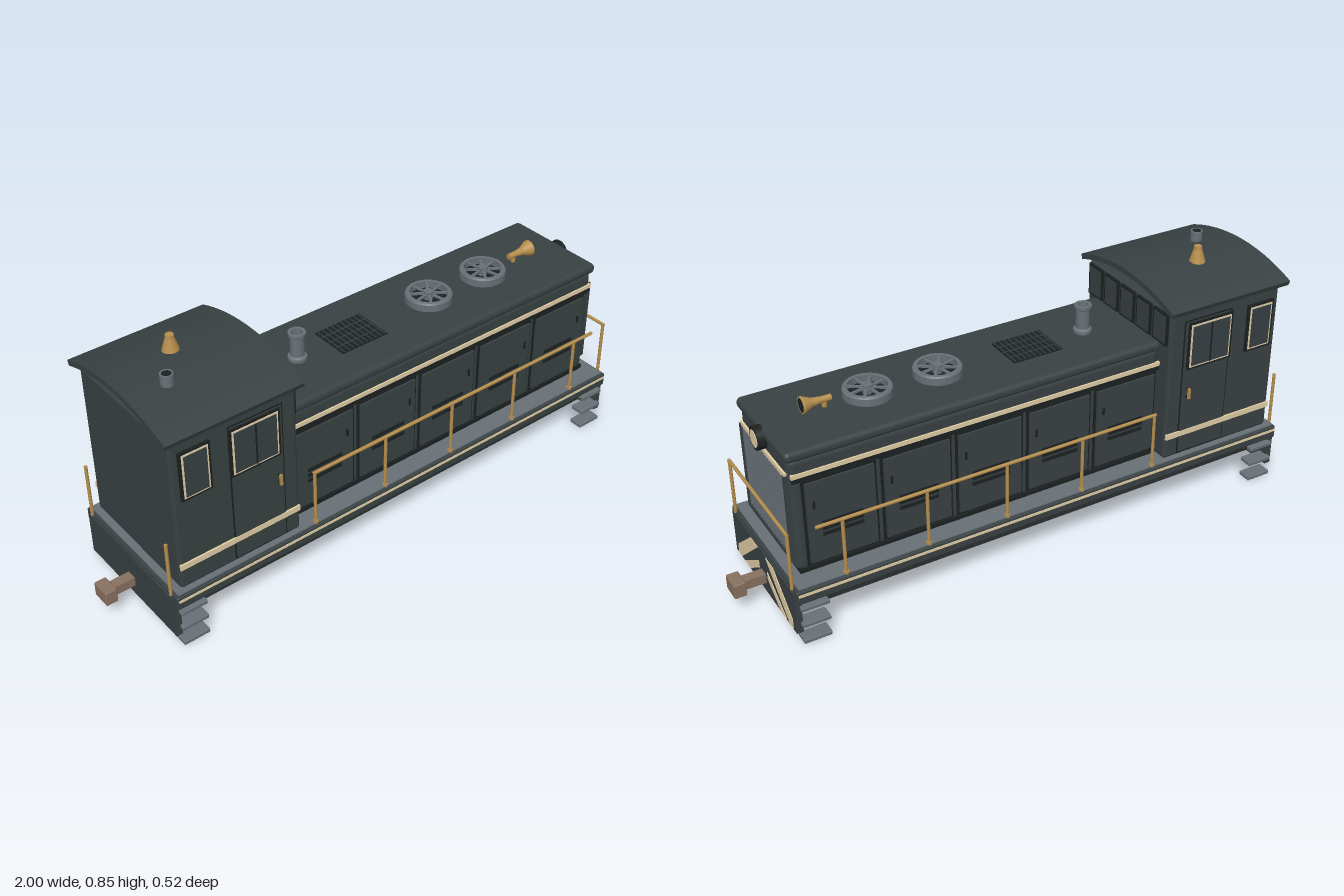
import * as THREE from 'three';
import { RoundedBoxGeometry } from 'three/addons/geometries/RoundedBoxGeometry.js';

const mat = (name, color) => Object.assign(new THREE.MeshStandardMaterial({ color }), { name });

export function createModel() {
  const root = new THREE.Group();
  root.name = 'dieselShunter';
  const body = mat('body green grey', 0x394142);
  const dark = mat('dark trim', 0x1c2122);
  const under = mat('underframe', 0x2a3031);
  const steel = mat('steel', 0x687077);
  const tankGrey = mat('tank grey', 0x535b60);
  const brass = mat('brass', 0xb58e4d);
  const cream = mat('cream', 0xe0cea5);
  const rust = mat('coupler brown', 0x88705f);
  const glass = mat('glass', 0x364043);

  const add = (name, geo, m, x = 0, y = 0, z = 0) => {
    const mesh = new THREE.Mesh(geo, m);
    mesh.name = name;
    mesh.position.set(x, y, z);
    root.add(mesh);
    return mesh;
  };
  // Boxes are given by their extents along each axis
  const box = (name, m, x0, x1, y0, y1, z0, z1, r = 0) => {
    const s = [x1 - x0, y1 - y0, Math.abs(z1 - z0)];
    return add(name, r ? new RoundedBoxGeometry(...s, 4, r) : new THREE.BoxGeometry(...s),
      m, (x0 + x1) / 2, (y0 + y1) / 2, (z0 + z1) / 2);
  };
  const rod = (name, m, a, b, r, seg = 10) => {
    const p = new THREE.Vector3(...a), d = new THREE.Vector3(...b).sub(p);
    const mesh = add(name, new THREE.CylinderGeometry(r, r, d.length(), seg), m);
    mesh.position.copy(p).addScaledVector(d, 0.5);
    mesh.quaternion.setFromUnitVectors(new THREE.Vector3(0, 1, 0), d.normalize());
    return mesh;
  };
  const lathe = (name, m, pts, x, y, z, seg = 24) => {
    const geo = new THREE.LatheGeometry(pts.map(p => new THREE.Vector2(...p)), seg).toNonIndexed();
    geo.computeVertexNormals();
    return add(name, geo, m, x, y, z);
  };

  // Underframe, walkway and tank
  box('floor', under, -0.87, 0.87, 0.13, 0.152, -0.22, 0.22);
  box('deck', body, -0.885, 0.885, 0.15, 0.197, -0.257, 0.257, 0.006);
  box('walkway', steel, -0.875, 0.875, 0.196, 0.201, -0.248, 0.248);
  box('fuelTank', tankGrey, -0.22, 0.21, 0.01, 0.15, -0.14, 0.14, 0.052);

  // Hood with cap
  box('hood', body, -0.43, 0.848, 0.2, 0.598, -0.18, 0.18, 0.025);
  box('hoodCap', body, -0.43, 0.856, 0.586, 0.622, -0.187, 0.187, 0.016);
  box('hoodFoot', dark, -0.43, 0.84, 0.2, 0.215, -0.183, 0.183);

  // Radiator grille
  box('grilleFrame', dark, 0.84, 0.85, 0.25, 0.535, -0.168, 0.168);
  for (const s of [1, -1]) box('grilleSide', body, 0.845, 0.858, 0.25, 0.54, s * 0.158, s * 0.17);
  box('grilleFoot', body, 0.845, 0.858, 0.242, 0.256, -0.17, 0.17);
  box('grilleStripe', cream, 0.846, 0.855, 0.534, 0.549, -0.165, 0.165);
  for (let i = 0; i < 16; i++) {
    const z = (i - 7.5) * 0.0195;
    box('grilleBar', steel, 0.848, 0.856, 0.257, 0.528, z - 0.0036, z + 0.0036);
  }

  // Headlight
  rod('headlightCase', dark, [0.84, 0.583, 0], [0.874, 0.583, 0], 0.037, 28);
  rod('headlightLens', cream, [0.87, 0.583, 0], [0.876, 0.583, 0], 0.0275, 28);

  // Roof grid
  box('roofGrid', dark, -0.13, 0.045, 0.615, 0.626, -0.07, 0.07);
  for (let i = 0; i < 10; i++) {
    const x = -0.122 + i * 0.0178;
    box('roofGridBar', body, x - 0.0015, x + 0.0015, 0.62, 0.628, -0.07, 0.07);
  }
  for (const z of [-0.035, 0, 0.035]) box('roofGridRib', body, -0.13, 0.045, 0.62, 0.6275, z - 0.0015, z + 0.0015);

  // Roof fans
  for (const x of [0.275, 0.51]) {
    lathe('fanRing', steel, [[0.062, 0], [0.077, 0], [0.077, 0.026], [0.073, 0.031], [0.062, 0.031], [0.062, 0]], x, 0.62, 0, 32);
    add('fanWell', new THREE.CylinderGeometry(0.063, 0.063, 0.008, 32), dark, x, 0.623, 0);
    add('fanHub', new THREE.CylinderGeometry(0.016, 0.016, 0.03, 16), steel, x, 0.64, 0);
    for (let i = 0; i < 4; i++) {
      const blade = add('fanBlade', new THREE.BoxGeometry(0.124, 0.006, 0.009), steel, x, 0.645, 0);
      blade.rotation.y = i * Math.PI / 4 + 0.2;
    }
  }

  // Exhaust and horn
  lathe('exhaust', steel, [[0, 0], [0.03, 0], [0.03, 0.015], [0.022, 0.02], [0.022, 0.085], [0.028, 0.09], [0.028, 0.1], [0.018, 0.1], [0.018, 0.07], [0, 0.07]], -0.25, 0.618, 0);
  const horn = lathe('horn', brass, [[0, 0], [0.01, 0], [0.01, 0.03], [0.014, 0.06], [0.027, 0.09], [0.027, 0.095], [0.022, 0.095]], 0.628, 0.647, 0);
  horn.rotation.z = -Math.PI / 2;
  rod('hornMouth', dark, [0.71, 0.647, 0], [0.7225, 0.647, 0], 0.0225, 24);
  rod('hornPost', brass, [0.65, 0.615, 0], [0.65, 0.645, 0], 0.008);

  // Cab and its windows facing the hood
  box('cab', body, -0.855, -0.427, 0.2, 0.735, -0.234, 0.234, 0.012);
  for (let i = -2; i <= 2; i++) {
    const z = i * 0.091;
    box('cabEndWindowFrame', dark, -0.43, -0.42, 0.62, 0.73, z - 0.039, z + 0.039);
    box('cabEndWindow', body, -0.425, -0.418, 0.628, 0.722, z - 0.031, z + 0.031);
  }

  // Curved cab roof
  const R = 0.712, A = 0.371, T = 0.018;
  const arc = new THREE.Shape();
  arc.absarc(0, 0, R, Math.PI / 2 - A, Math.PI / 2 + A, false);
  arc.absarc(0, 0, R - T, Math.PI / 2 + A, Math.PI / 2 - A, true);
  const roof = add('cabRoof', new THREE.ExtrudeGeometry(arc, { depth: 0.465, bevelEnabled: false, curveSegments: 20 }), body, -0.876, 0.799 - R, 0);
  roof.rotation.y = Math.PI / 2;
  lathe('roofVent', steel, [[0, 0], [0.02, 0], [0.02, 0.05], [0.014, 0.05]], -0.745, 0.78, 0.073);
  add('roofVentHole', new THREE.CylinderGeometry(0.015, 0.015, 0.004, 16), dark, -0.745, 0.828, 0.073);
  lathe('bell', brass, [[0, 0], [0.03, 0], [0.03, 0.012], [0.014, 0.066], [0.013, 0.077], [0, 0.077]], -0.65, 0.772, -0.058);

  // Everything repeated on both sides
  for (const s of [1, -1]) {
    const side = (name, m, x0, x1, y0, y1, z0, z1) => box(name, m, x0, x1, y0, y1, s * z0, s * z1);
    side('sideSill', under, -0.87, 0.87, 0.12, 0.152, 0.205, 0.235);
    side('deckStripe', cream, -0.88, 0.88, 0.178, 0.187, 0.255, 0.259);
    side('hoodStripe', cream, -0.427, 0.842, 0.533, 0.547, 0.176, 0.185);
    side('hoodBelt', dark, -0.427, 0.84, 0.516, 0.532, 0.176, 0.182);

    // Engine doors with louvres
    for (let i = 0; i < 5; i++) {
      const c = -0.297 + i * 0.2485;
      side('doorSeam', dark, c - 0.118, c + 0.118, 0.22, 0.516, 0.176, 0.183);
      side('engineDoor', body, c - 0.109, c + 0.109, 0.23, 0.508, 0.178, 0.19);
      for (let k = 0; k < 3; k++) side('louvre', dark, c - 0.065, c + 0.065, 0.317 + k * 0.02, 0.328 + k * 0.02, 0.188, 0.194);
      side('doorLatch', dark, c + 0.083, c + 0.09, 0.42, 0.445, 0.188, 0.194);
    }

    // Cab side: stripe, door and windows
    side('cabStripe', cream, -0.853, -0.43, 0.276, 0.295, 0.232, 0.24);
    side('cabDoorSeam', dark, -0.665, -0.478, 0.21, 0.7, 0.23, 0.2355);
    side('cabDoor', body, -0.66, -0.483, 0.215, 0.695, 0.23, 0.2375);
    for (const [x0, x1] of [[-0.822, -0.735], [-0.657, -0.5]]) {
      side('windowFrame', dark, x0 - 0.008, x1 + 0.008, 0.524, 0.692, 0.232, 0.243);
      side('windowTrim', cream, x0, x1, 0.532, 0.684, 0.24, 0.245);
      side('windowPane', glass, x0 + 0.006, x1 - 0.006, 0.538, 0.678, 0.24, 0.247);
    }
    side('windowDivider', dark, -0.581, -0.576, 0.538, 0.678, 0.244, 0.249);
    side('doorHandle', brass, -0.506, -0.498, 0.42, 0.457, 0.246, 0.254);
    for (const y of [0.423, 0.452]) side('handleStud', dark, -0.505, -0.499, y - 0.003, y + 0.003, 0.236, 0.248);

    // Side railing
    rod('sideRail', brass, [-0.38, 0.393, s * 0.242], [0.805, 0.393, s * 0.242], 0.0058);
    for (let i = 0; i < 5; i++) {
      const x = -0.375 + i * 0.274;
      rod('railPost', brass, [x, 0.2, s * 0.242], [x, 0.393, s * 0.242], 0.0055);
      rod('railFoot', brass, [x, 0.198, s * 0.242], [x, 0.207, s * 0.242], 0.009);
    }
  }

  // Both ends: buffer plate, coupler, steps and corner posts
  for (const e of [1, -1]) {
    const end = (name, m, x0, x1, ...r) => box(name, m, Math.min(e * x0, e * x1), Math.max(e * x0, e * x1), ...r);
    end('endPlate', body, 0.868, 0.89, 0.037, 0.187, -0.24, 0.24);
    end('couplerShank', rust, 0.885, 0.965, 0.076, 0.108, -0.017, 0.017);
    end('couplerHead', rust, 0.96, 1.0, 0.067, 0.117, -0.034, 0.034, 0.004);
    for (const s of [1, -1]) {
      rod('endRailPost', brass, [e * 0.885, 0.19, s * 0.222], [e * 0.885, 0.384, s * 0.222], 0.0055);
      for (const y of [0.01, 0.069, 0.128])
        end('step', steel, 0.785, 0.875, y - 0.007, y + 0.007, s * 0.208, s * 0.257, 0.003);
    }
  }
  rod('frontRail', brass, [0.885, 0.384, -0.226], [0.885, 0.384, 0.226], 0.0055);

  // Warning chevrons on the leading plate
  const bands = [
    [[0.216, 0.042], [0.216, 0.075], [0.088, 0.181], [0.029, 0.181], [0.19, 0.042]],
    [[0.165, 0.042], [0.119, 0.042], [0.034, 0.101], [0.034, 0.129]],
  ];
  for (const s of [1, -1]) for (const band of bands) {
    const shape = new THREE.Shape(band.map(([z, y]) => new THREE.Vector2(s * z, y)));
    const geo = new THREE.ExtrudeGeometry(shape, { depth: 0.003, bevelEnabled: false });
    add('chevron', geo, cream, 0.889).rotation.y = Math.PI / 2;
  }
  return root;
}
